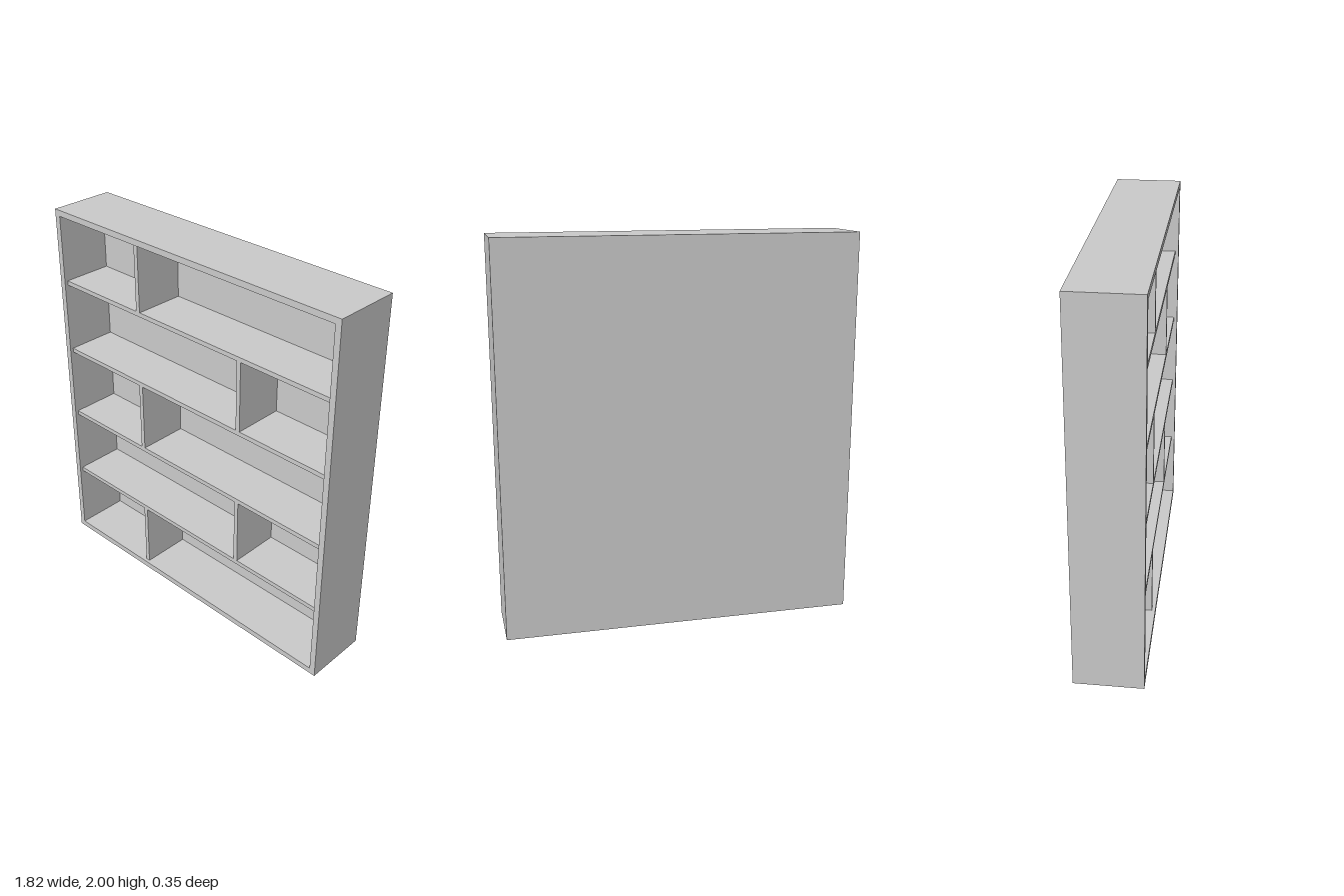
import * as THREE from 'three';

const W = 1.82, H = 2, D = 0.348; // outer size
const T = 0.032;                  // frame board thickness
const BACK = 0.06;                // back panel thickness
const INSET = 0.018;              // shelves sit behind the frame's front edge
const BOARD = 0.024;              // shelf and divider thickness

export function createModel() {
  const group = new THREE.Group();
  group.name = 'bookcase';
  const material = new THREE.MeshStandardMaterial({ color: 0xcccccc });

  const add = (name, geometry, x, y, z) => {
    const mesh = new THREE.Mesh(geometry, material);
    mesh.name = name;
    mesh.position.set(x, y, z);
    group.add(mesh);
  };

  // Outer frame: one rectangle with a rectangular opening
  const outline = new THREE.Shape([
    new THREE.Vector2(-W / 2, 0), new THREE.Vector2(W / 2, 0),
    new THREE.Vector2(W / 2, H), new THREE.Vector2(-W / 2, H),
  ]);
  const ix = W / 2 - T;
  outline.holes.push(new THREE.Path([
    new THREE.Vector2(-ix, T), new THREE.Vector2(-ix, H - T),
    new THREE.Vector2(ix, H - T), new THREE.Vector2(ix, T),
  ]));
  add('frame', new THREE.ExtrudeGeometry(outline, { depth: D, bevelEnabled: false }), 0, 0, -D / 2);

  // Back panel, filling the opening flush with the rear
  add('backPanel', new THREE.BoxGeometry(2 * ix, H - 2 * T, BACK), 0, H / 2, -D / 2 + BACK / 2);

  // Shelves
  const depth = D - BACK - INSET;
  const z = -D / 2 + BACK + depth / 2;
  const shelves = [0.409, 0.798, 1.198, 1.597];
  for (const y of shelves) add('shelf', new THREE.BoxGeometry(2 * ix, BOARD, depth), 0, y, z);

  // Dividers, alternating sides from row to row
  const floors = [T, ...shelves.map((y) => y + BOARD / 2)];
  const ceilings = [...shelves.map((y) => y - BOARD / 2), H - T];
  floors.forEach((low, i) => {
    const high = ceilings[i];
    add('divider', new THREE.BoxGeometry(BOARD, high - low, depth),
      i % 2 ? 0.341 : -0.335, (low + high) / 2, z);
  });

  return group;
}
